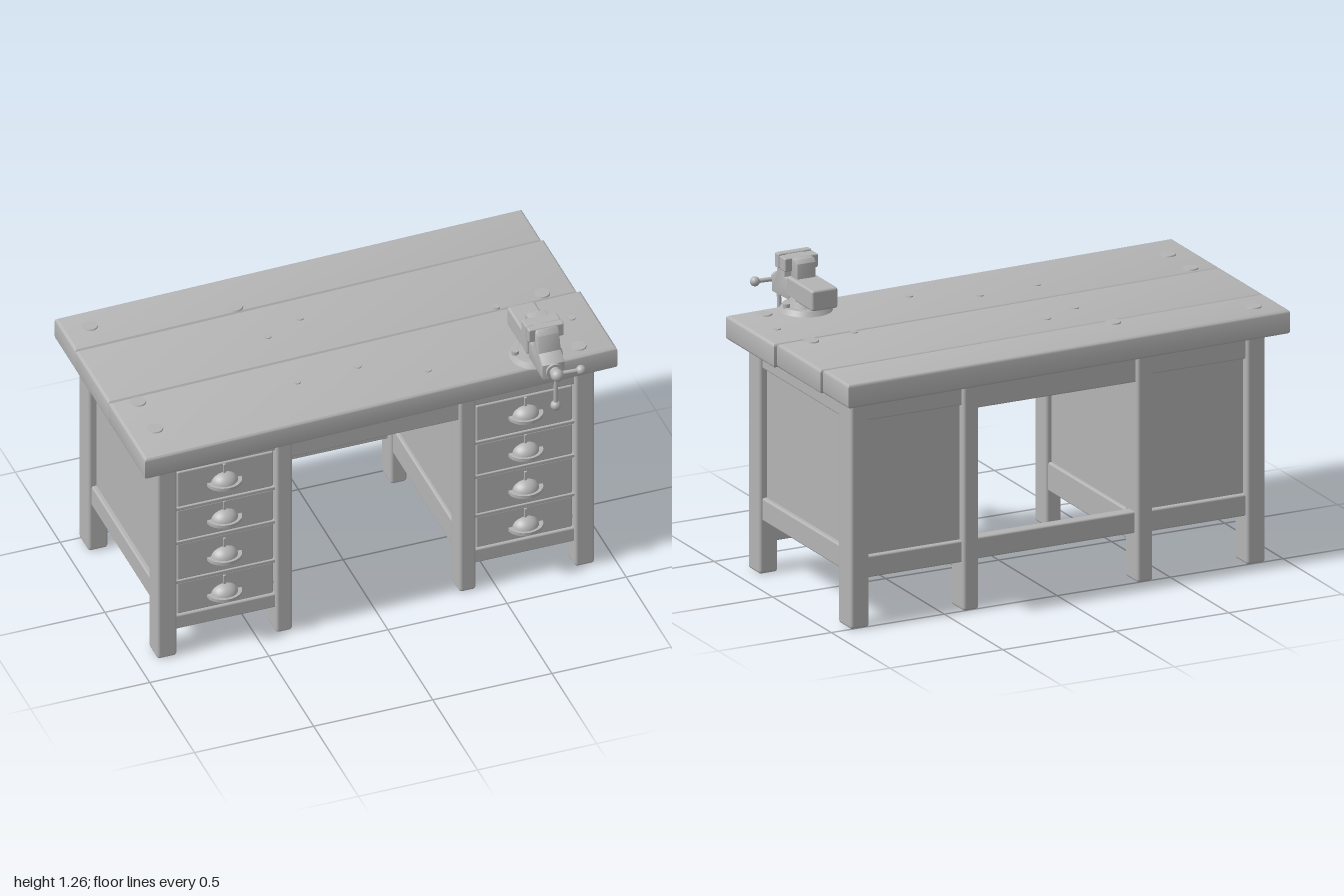
import * as THREE from 'three';
import { RoundedBoxGeometry } from 'three/addons/geometries/RoundedBoxGeometry.js';
import { toCreasedNormals } from 'three/addons/utils/BufferGeometryUtils.js';

export function createModel() {
  const clay = new THREE.MeshStandardMaterial({ color: 0xb4b4b4, side: THREE.DoubleSide });
  clay.name = 'plainGrey';
  const model = new THREE.Group();
  model.name = 'workbench';

  function add(parent, name, geo, x = 0, y = 0, z = 0) {
    const mesh = new THREE.Mesh(geo, clay);
    mesh.name = name;
    mesh.position.set(x, y, z);
    parent.add(mesh);
    return mesh;
  }
  // softly rounded block given by its limits
  function block(parent, name, x0, x1, y0, y1, z0, z1, r = 0.008) {
    const geo = new RoundedBoxGeometry(x1 - x0, y1 - y0, z1 - z0, 2, r);
    return add(parent, name, geo, (x0 + x1) / 2, (y0 + y1) / 2, (z0 + z1) / 2);
  }
  function group(name, parent = model) {
    const g = new THREE.Group();
    g.name = name;
    parent.add(g);
    return g;
  }
  function rod(parent, name, a, b, r) {
    const from = new THREE.Vector3(...a), to = new THREE.Vector3(...b);
    const mesh = add(parent, name, new THREE.CylinderGeometry(r, r, from.distanceTo(to), 14));
    mesh.position.copy(from).lerp(to, 0.5);
    mesh.quaternion.setFromUnitVectors(new THREE.Vector3(0, 1, 0), to.clone().sub(from).normalize());
    return mesh;
  }

  // ---- Top: three slightly skewed planks with softened edges
  const top = group('benchTop');
  const planks = [ // right end x, back z and front z at the left end, then at the right end
    ['backPlank', 0.975, -0.56, -0.33, -0.60, -0.38],
    ['middlePlank', 0.985, -0.33, 0.04, -0.38, -0.01],
    ['frontPlank', 1.0, 0.04, 0.45, -0.01, 0.40],
  ];
  const bevel = 0.013;
  for (const [name, xr, zb, zf, zbr, zfr] of planks) {
    const s = new THREE.Shape([[-1, -zf], [xr, -zfr], [xr, -zbr], [-1, -zb]].map(p => new THREE.Vector2(...p)));
    const geo = new THREE.ExtrudeGeometry(s, {
      depth: 0.1 - 2 * bevel, bevelThickness: bevel, bevelSize: bevel, bevelOffset: -bevel, bevelSegments: 3,
    });
    geo.rotateX(-Math.PI / 2);
    add(top, name, toCreasedNormals(geo, 0.7), 0, 0.948 + bevel, 0);
  }
  // pegs and knots set in the top
  const pegs = [[-0.89, -0.46], [-0.89, 0.08], [-0.89, 0.27], [-0.31, -0.38], [0.85, -0.04], [0.86, 0.34]];
  const knots = [[-0.26, -0.15], [-0.1, -0.22], [0.65, -0.02], [0, 0.16], [-0.26, 0.175], [0.25, 0.28], [0.9, 0.155]];
  const disc = (r) => new THREE.CylinderGeometry(r * 0.93, r, 0.006, 20);
  for (const [x, z] of pegs) add(top, 'peg', disc(0.032), x, 1.05, z);
  for (const [x, z] of knots) add(top, 'knot', disc(0.016), x, 1.049, z);

  // ---- Pull: quarter dome with a flat lip and a small keyhole tab above
  function pull(parent, x, y) {
    const g = group('drawerPull', parent);
    g.position.set(x, y, 0.352);
    const dome = add(g, 'cup', new THREE.SphereGeometry(1, 20, 8, 0, Math.PI, 0, Math.PI / 2));
    dome.scale.set(0.056, 0.045, 0.052);
    const lip = add(g, 'lip', new THREE.CylinderGeometry(1, 1, 0.014, 24, 1, false, -Math.PI / 2, Math.PI));
    lip.scale.set(0.072, 1, 0.062);
    block(g, 'keyTab', -0.006, 0.006, 0.03, 0.085, -0.004, 0.008, 0.003);
  }

  // ---- Two mirrored pedestals
  const zF = 0.37, zB = -0.51;
  for (const side of [-1, 1]) {
    const ped = group(side < 0 ? 'rightPedestal' : 'leftPedestal');
    // block with x limits measured outwards from the centre
    const b = (name, xi, xo, y0, y1, z0, z1, r) =>
      block(ped, name, Math.min(side * xi, side * xo), Math.max(side * xi, side * xo), y0, y1, z0, z1, r);
    // legs
    for (const [z0, z1] of [[0.27, zF], [zB, -0.4]]) {
      b('outerLeg', 0.835, 0.918, 0, 0.955, z0, z1, 0.013);
      b('innerLeg', 0.35, 0.42, 0, 0.955, z0, z1, 0.013);
    }
    // outer side
    b('outerPanel', 0.865, 0.885, 0.25, 0.9, -0.43, 0.3, 0.003);
    b('outerTopRail', 0.85, 0.905, 0.85, 0.955, -0.43, 0.3);
    b('outerBottomRail', 0.85, 0.905, 0.22, 0.315, -0.43, 0.3);
    // kneehole side
    b('innerPanel', 0.375, 0.395, 0.2, 0.95, -0.43, 0.3, 0.003);
    b('innerBottomRail', 0.36, 0.405, 0.15, 0.27, -0.43, 0.3);
    // back
    b('backPanel', 0.4, 0.86, 0.23, 0.9, -0.475, -0.455, 0.003);
    b('backTopRail', 0.4, 0.86, 0.85, 0.955, -0.495, -0.44);
    b('backBottomRail', 0.4, 0.86, 0.2, 0.29, -0.495, -0.44);
    // floor and drawer front
    b('floor', 0.38, 0.88, 0.222, 0.24, -0.46, 0.34, 0.003);
    b('frontTopRail', 0.4, 0.86, 0.88, 0.955, 0.3, 0.357);
    b('frontBottomRail', 0.4, 0.86, 0.118, 0.185, 0.3, 0.357);
    b('drawerCarcass', 0.4, 0.86, 0.17, 0.9, 0.31, 0.335, 0.003);
    const drawers = [[0.188, 0.338, 0.245], [0.352, 0.527, 0.425], [0.541, 0.69, 0.605], [0.706, 0.875, 0.785]];
    for (const [y0, y1, py] of drawers) {
      b('drawerFront', 0.426, 0.829, y0, y1, 0.32, 0.353, 0.006);
      pull(ped, side * 0.632, py);
    }
    for (const y of [0.345, 0.534, 0.698]) b('drawerDivider', 0.41, 0.84, y - 0.008, y + 0.008, 0.3, 0.358, 0.004);
  }

  // ---- Rails joining the pedestals
  block(model, 'frontApron', -0.36, 0.36, 0.828, 0.955, 0.3, 0.355);
  block(model, 'backApron', -0.36, 0.36, 0.828, 0.955, -0.495, -0.44);
  block(model, 'backStretcher', -0.36, 0.36, 0.2, 0.29, -0.485, -0.435);

  // ---- Vise, built around x = 0 then moved to the front corner
  const vise = group('vise');
  vise.position.set(0.685, 0, 0);
  add(vise, 'swivelBase', new THREE.CylinderGeometry(0.095, 0.108, 0.022, 32), 0, 1.058, 0.325);
  add(vise, 'swivelNeck', new THREE.CylinderGeometry(0.06, 0.075, 0.04, 24), 0, 1.083, 0.325);
  for (const s of [-1, 1]) add(vise, 'baseBolt', new THREE.CylinderGeometry(0.014, 0.014, 0.02, 6), s * 0.085, 1.073, 0.325);

  // side profile in (z, y) extruded across the width
  function profile(name, pts, width) {
    const bv = 0.006;
    const geo = new THREE.ExtrudeGeometry(new THREE.Shape(pts.map(p => new THREE.Vector2(...p))), {
      depth: width - 2 * bv, bevelThickness: bv, bevelSize: bv, bevelOffset: -bv, bevelSegments: 2,
    });
    geo.translate(0, 0, bv - width / 2).rotateY(-Math.PI / 2);
    add(vise, name, toCreasedNormals(geo, 0.6));
  }
  block(vise, 'slideBody', -0.058, 0.058, 1.092, 1.178, 0.16, 0.38, 0.01);
  profile('frontJaw', [[0.528, 1.07], [0.528, 1.135], [0.485, 1.165], [0.468, 1.235], [0.45, 1.255],
    [0.425, 1.26], [0.418, 1.25], [0.418, 1.16], [0.37, 1.155], [0.37, 1.075]], 0.095);
  profile('rearJaw', [[0.372, 1.15], [0.372, 1.2], [0.415, 1.2], [0.415, 1.255], [0.33, 1.255],
    [0.317, 1.24], [0.317, 1.15]], 0.085);
  block(vise, 'frontJawPlate', -0.074, 0.074, 1.2, 1.26, 0.416, 0.448, 0.006);
  block(vise, 'rearJawPlate', -0.074, 0.074, 1.2, 1.256, 0.36, 0.412, 0.006);

  // screw and handle
  rod(vise, 'screwCollar', [0, 1.105, 0.5], [0, 1.105, 0.54], 0.034);
  rod(vise, 'screw', [0, 1.107, 0.53], [0, 1.107, 0.57], 0.022);
  add(vise, 'screwHead', new THREE.SphereGeometry(0.026, 18, 12), 0, 1.107, 0.567);
  rod(vise, 'crossHandle', [0, 1.107, 0.56], [0.1, 1.107, 0.566], 0.009);
  rod(vise, 'dropHandle', [0, 1.107, 0.556], [0, 0.955, 0.55], 0.009);
  add(vise, 'handleKnob', new THREE.SphereGeometry(0.02, 16, 12), 0.1, 1.107, 0.566);
  add(vise, 'handleKnob', new THREE.SphereGeometry(0.021, 16, 12), 0, 0.95, 0.55);

  return model;
}
